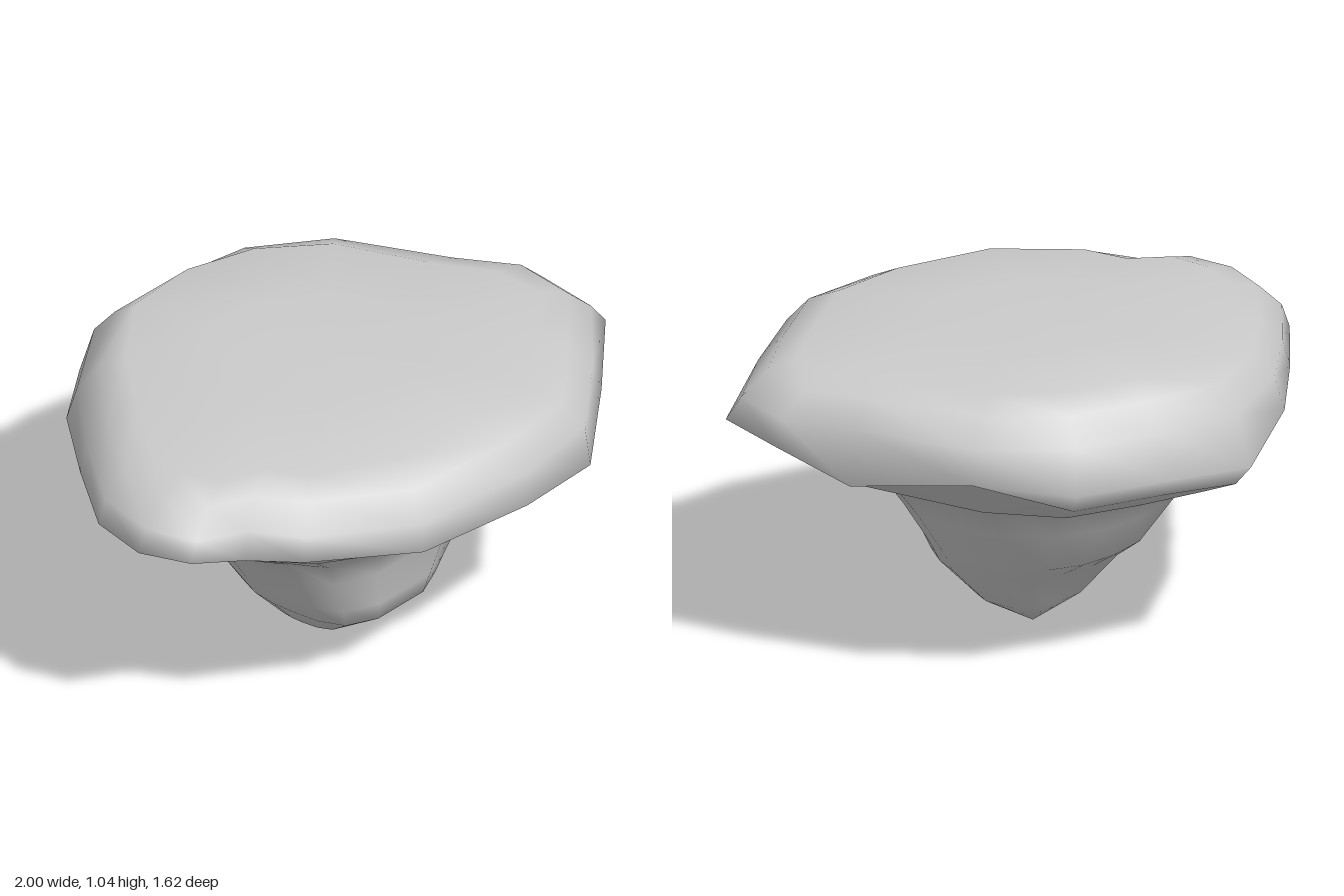
import * as THREE from 'three';

// Outline of the plateau: x, z, height of its lower lip, width kept at the upper lip
const rim = [
  [0.97, 0.0, 0.79, 0.98], [1.0, 0.25, 0.81, 0.95], [0.75, 0.5, 0.78, 0.97],
  [0.47, 0.75, 0.74, 0.98], [0.15, 0.8, 0.755, 1.0], [-0.3, 0.8, 0.78, 0.99],
  [-0.65, 0.62, 0.81, 0.96], [-0.75, 0.45, 0.78, 0.98], [-0.93, 0.39, 0.82, 0.96],
  [-1.0, 0.22, 0.81, 0.96], [-0.97, 0.0, 0.8, 0.97], [-0.8, -0.27, 0.79, 0.97],
  [-0.6, -0.55, 0.77, 0.96], [-0.32, -0.79, 0.71, 0.94], [0.0, -0.815, 0.74, 0.93],
  [0.32, -0.76, 0.73, 0.96], [0.6, -0.58, 0.77, 0.97], [0.82, -0.2, 0.69, 0.98],
];
// Outline of the rocky root at its shoulder, one x, z pair per rim point
const root = [
  [0.52, 0.0], [0.5, 0.12], [0.44, 0.25], [0.36, 0.38], [0.18, 0.45], [-0.18, 0.47],
  [-0.36, 0.42], [-0.44, 0.32], [-0.48, 0.2], [-0.5, 0.1], [-0.5, 0.0], [-0.46, -0.17],
  [-0.4, -0.34], [-0.2, -0.42], [0.0, -0.45], [0.18, -0.42], [0.35, -0.32], [0.47, -0.12],
];
const N = rim.length;

// Joins loops, listed from bottom to top, and closes them with two end points
function skin(bottom, loops, top) {
  const pos = [...bottom, ...loops.flat(2), ...top];
  const last = 1 + loops.length * N;
  const index = [];
  for (let i = 0; i < N; i++) {
    const j = (i + 1) % N;
    index.push(0, 1 + i, 1 + j);
    for (let k = 0; k < loops.length - 1; k++) {
      const a = 1 + k * N + i, b = 1 + k * N + j;
      index.push(a, a + N, b + N, a, b + N, b);
    }
    index.push(last - N + i, last, last - N + j);
  }
  const g = new THREE.BufferGeometry();
  g.setAttribute('position', new THREE.Float32BufferAttribute(pos, 3));
  g.setIndex(index);
  g.computeVertexNormals();
  return g;
}

export function createModel() {
  const group = new THREE.Group();
  const material = new THREE.MeshStandardMaterial({ color: 0xcccccc, roughness: 0.9 });

  // Root loops: height, x scale, front z scale, back z scale
  const rootLoops = [
    [0.1, 0.34, 0.43, 0.2], [0.23, 0.58, 0.8, 0.4], [0.3, 0.65, 0.84, 0.66],
    [0.45, 0.84, 0.91, 0.88], [0.56, 1, 1, 1.05],
  ].map(([y, sx, front, back]) =>
    root.map(([x, z]) => [x * sx, y - (z < 0 ? 0.04 * -z : 0), z * (z > 0 ? front : back)]));

  // Flaring underside between root and lip
  const flare = rim.map(([x, z, y], i) => [
    THREE.MathUtils.lerp(root[i][0], x, 0.5),
    THREE.MathUtils.lerp(0.57, y, 0.5) - (z < -0.5 ? 0.06 : 0),
    THREE.MathUtils.lerp(root[i][1], z, 0.5),
  ]);
  const inner = rim.map(([x, z, y]) => [x * 0.93, y - (z < -0.7 ? 0.07 : 0.015), z * 0.93]);

  // Lip, rounded shoulder and gently domed top
  const lip = rim.map(([x, z, y]) => [x, y, z]);
  const upperLip = rim.map(([x, z, , k]) => [x * k, 0.88, z * k]);
  const shoulder = rim.map(([x, z, , k]) => [x * k * 0.91, 0.97 - 0.01 * Math.abs(x), z * k * 0.91]);
  const topEdge = rim.map(([x, z]) => [x * 0.77, 1.03 - 0.04 * Math.abs(x), z * 0.77]);
  const topInner = rim.map(([x, z]) => [x * 0.4, 1.045 - 0.02 * Math.abs(x), z * 0.4]);

  const island = new THREE.Mesh(
    skin([0, 0, 0], [...rootLoops, flare, inner, lip, upperLip, shoulder, topEdge, topInner], [0, 1.045, 0]),
    material);
  island.name = 'floatingRock';
  group.add(island);
  return group;
}
